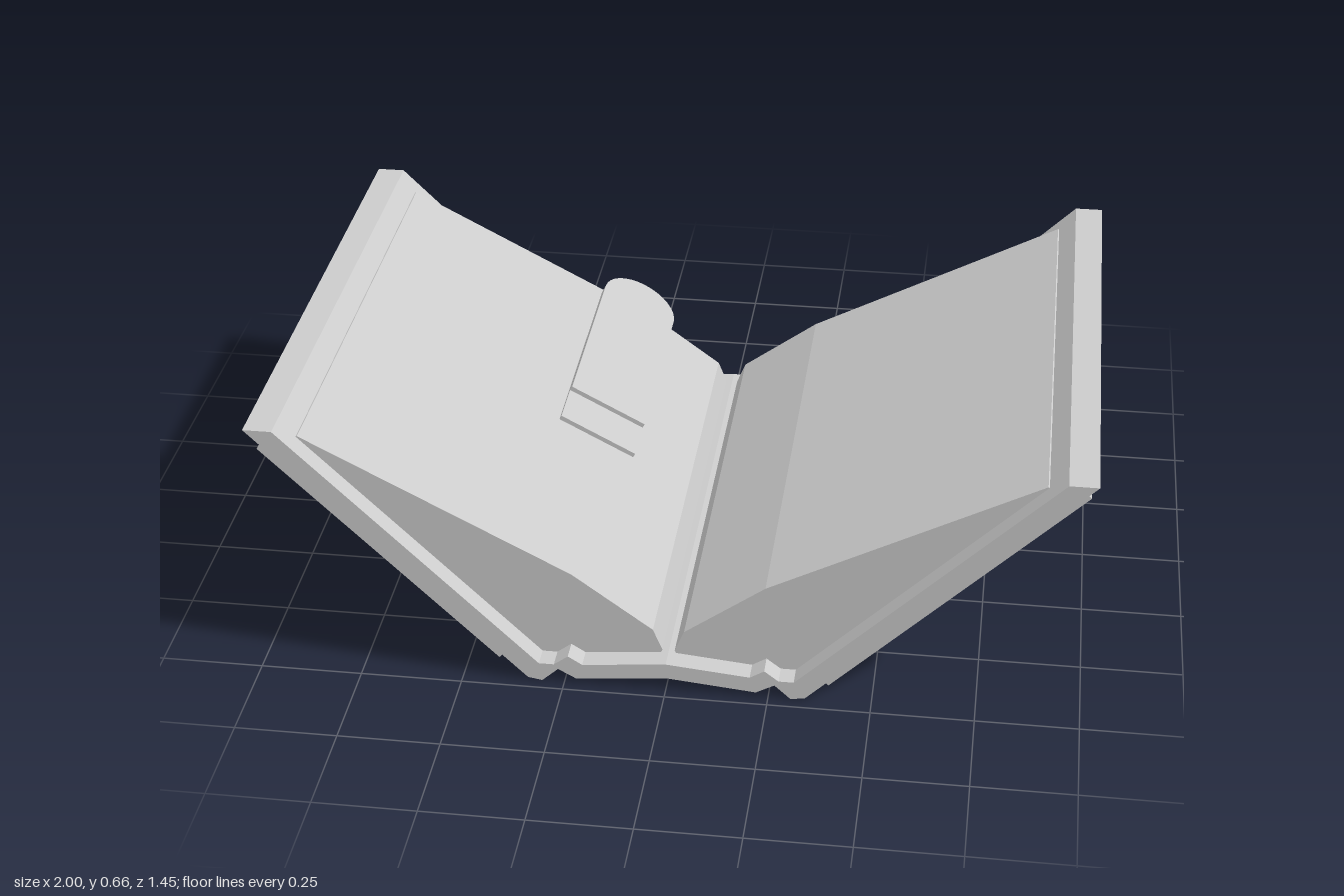
import * as THREE from 'three';

const material = new THREE.MeshStandardMaterial({ color: 0xcccccc, flatShading: true });

function makeShape(points) {
  return new THREE.Shape(points.map(([x, y]) => new THREE.Vector2(x, y)));
}

// Extrude a front-view outline from zBack to zFront
function prism(name, points, zBack, zFront) {
  const geometry = new THREE.ExtrudeGeometry(makeShape(points), { depth: zFront - zBack, bevelEnabled: false });
  geometry.translate(0, 0, zBack);
  const mesh = new THREE.Mesh(geometry, material);
  mesh.name = name;
  return mesh;
}

const mirror = (points) => points.map(([x, y]) => [-x, y]).reverse();

// Lay a flat outline (x across, y towards the back) down as a plate of given thickness
function plate(name, shape, thickness) {
  const geometry = new THREE.ExtrudeGeometry(shape, { depth: thickness, bevelEnabled: false, curveSegments: 8 });
  geometry.rotateX(-Math.PI / 2);
  const mesh = new THREE.Mesh(geometry, material);
  mesh.name = name;
  return mesh;
}

export function createModel() {
  const book = new THREE.Group();
  book.name = 'openBook';

  // Cover: one folded strip with hinge grooves on both sides of the spine
  const outer = [[0.22, 0.012], [0.265, 0.037], [0.305, 0], [0.34, 0.006], [1, 0.662]];
  const inner = [[0.93, 0.662], [0.312, 0.05], [0.275, 0.05], [0.24, 0.077], [0.205, 0.055]];
  const half = [...outer, ...inner];
  book.add(prism('cover', [[0, 0.034], ...half, [0, 0.075], ...mirror(half)], -0.69, 0.72));

  // Page blocks, thick at the gutter and tapering to the fore edge
  const pages = [
    [0.02, 0.07], [0.205, 0.05], [0.24, 0.07], [0.275, 0.045], [0.315, 0.045],
    [0.893, 0.618], [0.885, 0.622], [0.235, 0.282], [0.038, 0.137], [0.015, 0.08],
  ];
  book.add(prism('leftPages', pages, -0.64, 0.667));
  book.add(prism('rightPages', mirror(pages), -0.64, 0.667));

  // Raised panels on the outside of each board
  const leftPanel = [[0.365, 0.047], [0.393, 0.02], [0.985, 0.607], [0.96, 0.632]];
  const rightPanel = [[-0.39, 0.06], [-0.96, 0.625], [-0.982, 0.587], [-0.418, 0.03]];
  book.add(prism('leftPanel', leftPanel, -0.64, 0.68));
  book.add(prism('rightPanel', rightPanel, -0.64, 0.68));

  // Bookmark: strip with a rounded back end and a thinner front tab
  const bookmark = new THREE.Group();
  bookmark.name = 'bookmark';
  const w = 0.108;
  const strip = new THREE.Shape();
  strip.moveTo(-w, 0.06);
  strip.lineTo(w, 0.06);
  strip.lineTo(w, 0.62);
  strip.absellipse(0, 0.62, w, 0.11, 0, Math.PI, false);
  strip.lineTo(-w, 0.06);
  bookmark.add(plate('bookmarkStrip', strip, 0.024));
  bookmark.add(plate('bookmarkTab', makeShape([[-w, -0.072], [w, -0.072], [w, 0.07], [-w, 0.07]]), 0.012));
  bookmark.position.set(-0.27, 0.302, 0);
  bookmark.rotation.z = -0.486;
  book.add(bookmark);

  return book;
}
